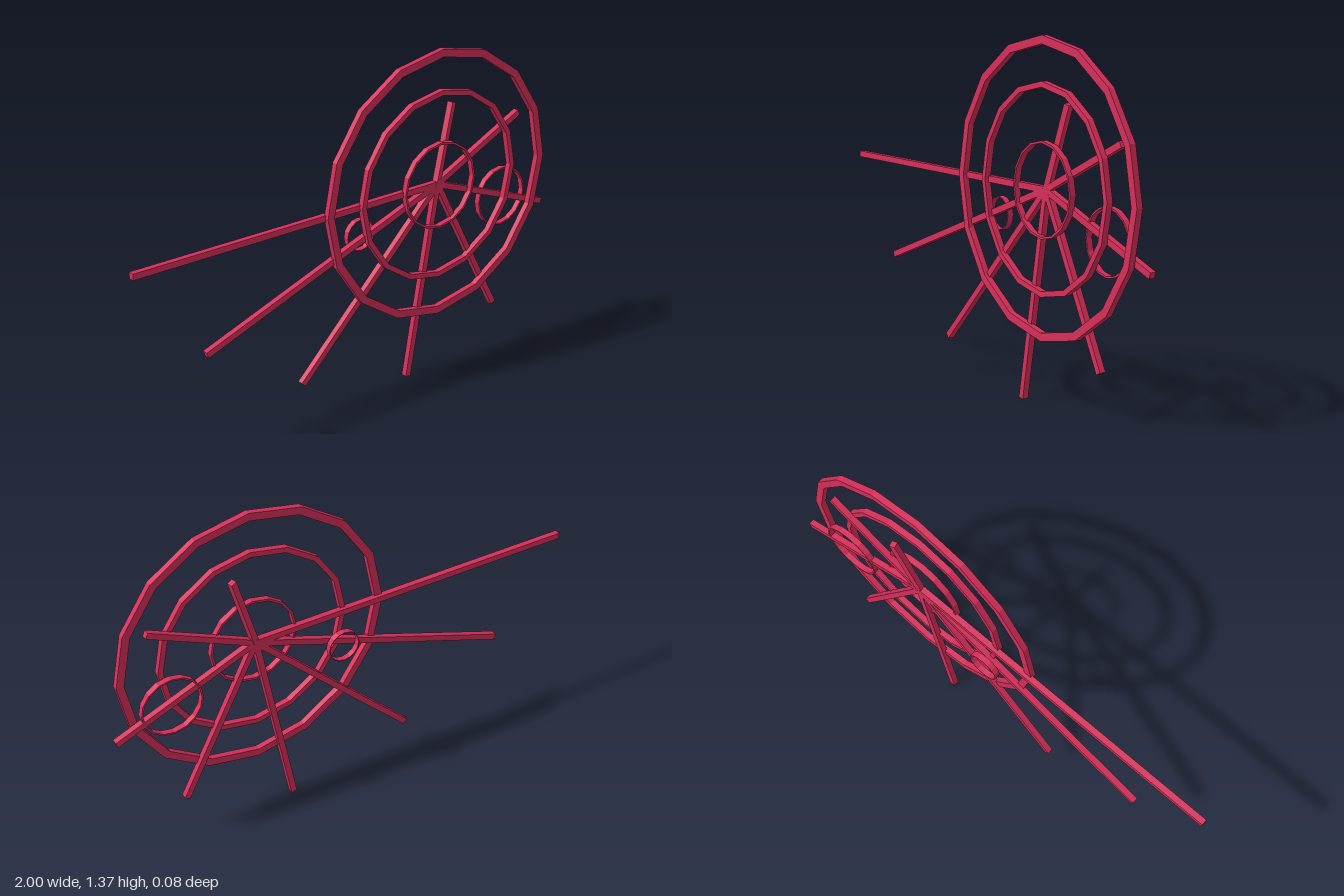
import * as THREE from 'three';

export function createModel() {
  const model = new THREE.Group();
  const crimson = new THREE.MeshStandardMaterial({ color: 0xd62f5a });
  crimson.name = 'crimson';
  const hub = new THREE.Vector3(0.4, 0.813, 0.01);

  const add = (name, geometry) => {
    const mesh = new THREE.Mesh(geometry, crimson);
    mesh.name = name;
    model.add(mesh);
    return mesh;
  };

  // Sixteen-sided flat loop with a corner at the top
  const loop = (r) => Array.from({ length: 16 }, (_, i) => {
    const a = (i / 16) * Math.PI * 2;
    return new THREE.Vector2(Math.cos(a) * r, Math.sin(a) * r);
  });

  // Band with a rectangular section, centred at x, y, z
  const ring = (name, x, y, z, outer, inner, depth = 0.025) => {
    const shape = new THREE.Shape(loop(outer));
    shape.holes.push(new THREE.Path(loop(inner)));
    const geometry = new THREE.ExtrudeGeometry(shape, { depth, bevelEnabled: false });
    geometry.translate(0, 0, -depth / 2);
    add(name, geometry).position.set(x, y, z);
  };

  // Rings around the hub
  ring('outerRing', hub.x, hub.y, 0.026, 0.561, 0.529);
  ring('middleRing', hub.x, hub.y, 0.026, 0.396, 0.374);
  ring('innerRing', hub.x, hub.y, 0.026, 0.181, 0.172);
  // Small rings off to the sides
  ring('leftSmallRing', 0.76, 0.669, -0.003, 0.127, 0.12);
  ring('rightSmallRing', 0.04, 0.679, -0.026, 0.067, 0.063);

  // Square bars from the hub to each tip
  const tips = [
    [-1, 0.813, 0.011], [-0.708, 0.412, 0.012], [-0.275, 0.142, 0.013],
    [0.255, 0.003, 0.013], [0.727, 0.195, 0.005], [0.993, 0.588, -0.006],
    [0.835, 1.019, 0.002], [0.494, 1.129, -0.015],
  ];
  tips.forEach(([x, y, z], i) => {
    const tip = new THREE.Vector3(x, y, z);
    const length = hub.distanceTo(tip);
    const spoke = add('spoke' + (i + 1), new THREE.BoxGeometry(0.025, 0.025, length));
    spoke.position.copy(hub).add(tip).multiplyScalar(0.5);
    spoke.lookAt(tip);
  });

  return model;
}
